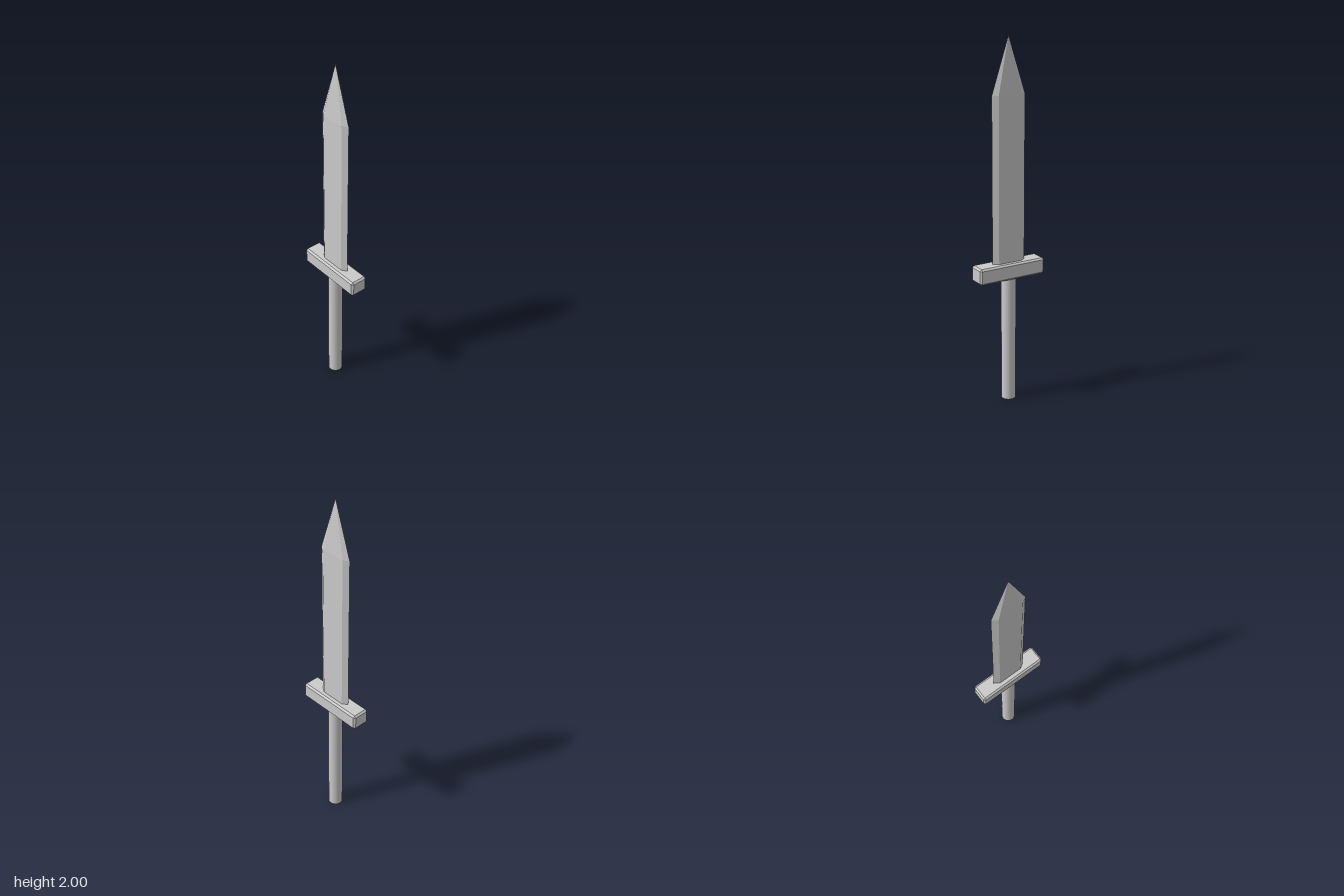
import * as THREE from 'three';
import { ConvexGeometry } from 'three/addons/geometries/ConvexGeometry.js';

const material = new THREE.MeshStandardMaterial({ color: 0xcccccc });

function addPart(group, name, geometry, y = 0) {
  const mesh = new THREE.Mesh(geometry, material);
  mesh.name = name;
  mesh.position.y = y;
  group.add(mesh);
}

// Box with every edge cut by a flat bevel
function chamferedBox(width, height, depth, bevel) {
  const [x, y, z] = [width / 2, height / 2, depth / 2];
  const points = [];
  for (const sx of [-1, 1]) for (const sy of [-1, 1]) for (const sz of [-1, 1]) {
    points.push(
      new THREE.Vector3(sx * x, sy * (y - bevel), sz * (z - bevel)),
      new THREE.Vector3(sx * (x - bevel), sy * y, sz * (z - bevel)),
      new THREE.Vector3(sx * (x - bevel), sy * (y - bevel), sz * z)
    );
  }
  return new ConvexGeometry(points);
}

// Six-sided flat bar that narrows to a point
function bladeGeometry(bottom, shoulder, tip) {
  const section = [[0.1, 0], [0.07, 0.02], [-0.07, 0.02], [-0.1, 0], [-0.07, -0.02], [0.07, -0.02]];
  const points = [new THREE.Vector3(0, tip, 0)];
  for (const y of [bottom, shoulder]) {
    for (const [x, z] of section) points.push(new THREE.Vector3(x, y, z));
  }
  return new ConvexGeometry(points);
}

export function createModel() {
  const sword = new THREE.Group();
  sword.name = 'sword';
  addPart(sword, 'handle', new THREE.CylinderGeometry(0.04, 0.04, 0.71, 32), 0.355);
  addPart(sword, 'guard', chamferedBox(0.4, 0.09, 0.1, 0.01), 0.755);
  addPart(sword, 'blade', bladeGeometry(0.8, 1.7, 2));
  return sword;
}
